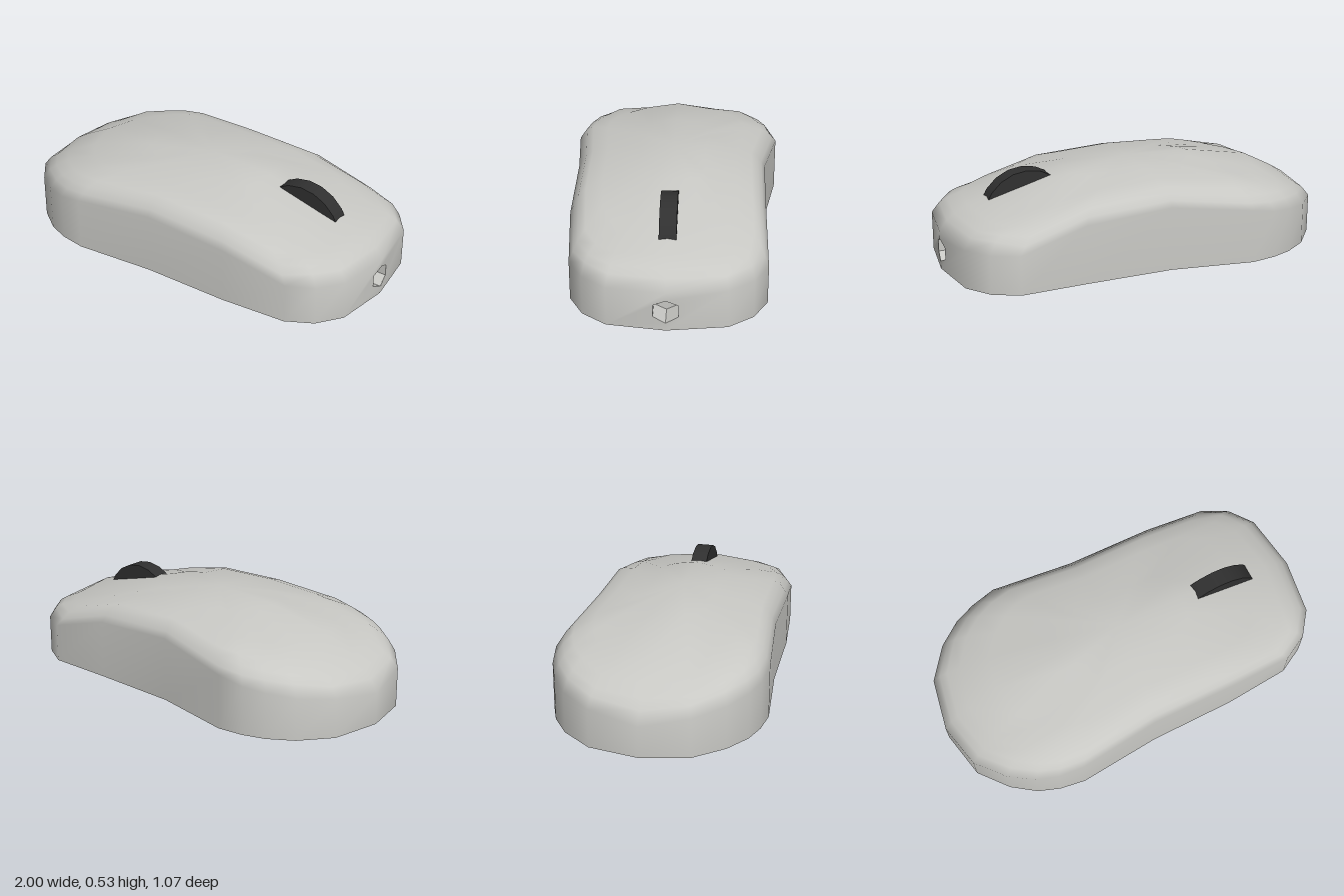
import * as THREE from 'three';
import { mergeGeometries, mergeVertices } from 'three/addons/utils/BufferGeometryUtils.js';

// plan outline [x, z], from the nose round the +z side to the tail and back
const outline = [
  [1, 0], [0.96, 0.28], [0.87, 0.4], [0.74, 0.47], [0.4, 0.495], [-0.05, 0.495], [-0.47, 0.53],
  [-0.6, 0.51], [-0.71, 0.47], [-0.83, 0.385], [-0.95, 0.24], [-1, 0], [-0.95, -0.25],
  [-0.83, -0.4], [-0.71, -0.48], [-0.6, -0.52], [-0.47, -0.54], [-0.05, -0.47], [0.4, -0.47],
  [0.74, -0.478], [0.87, -0.41], [0.96, -0.29],
];
const count = outline.length;
const base = 0.06;
const ballX = -0.04;

// height of the spine along x, and how far the shell falls from spine (0) to side (1)
const spine = [[-1, 0.22], [-0.95, 0.3], [-0.9, 0.34], [-0.7, 0.45], [-0.43, 0.51], [-0.03, 0.535],
  [0.37, 0.515], [0.7, 0.42], [0.84, 0.385], [0.95, 0.325], [1, 0.26]];
const fall = [[0, 0], [0.35, 0.02], [0.69, 0.045], [0.85, 0.07], [0.92, 0.095], [1, 0.165]];
const rightSide = [...outline.slice(0, 12)].reverse();
const leftSide = [...outline.slice(11), outline[0]].map(([x, z]) => [x, -z]);

function lerpTable(table, t) {
  for (let i = 1; i < table.length; i++) {
    const [a, va] = table[i - 1], [b, vb] = table[i];
    if (t <= b) return va + (vb - va) * Math.max(0, (t - a) / (b - a));
  }
  return table[table.length - 1][1];
}

function shellHeight(x, z) {
  const half = lerpTable(z >= 0 ? rightSide : leftSide, x);
  const u = half > 1e-6 ? Math.min(1, Math.abs(z) / half) : 0;
  return lerpTable(spine, x) - lerpTable(fall, u) * Math.min(1, (half / 0.5) ** 2);
}

// half of the nose wall, with half of the hexagonal cable hole cut out
function noseHalf([x, z]) {
  const pts = [[0, base], [-z, base], [-z, shellHeight(x, z)], [0, shellHeight(1, 0)],
    [0, 0.22], [-Math.sign(z) * 0.06, 0.19], [-Math.sign(z) * 0.06, 0.13], [0, 0.1]];
  const geo = new THREE.ShapeGeometry(new THREE.Shape(pts.map(p => new THREE.Vector2(...p))));
  geo.deleteAttribute('normal');
  geo.deleteAttribute('uv');
  const pos = geo.attributes.position;
  for (let i = 0; i < pos.count; i++) {
    const u = pos.getX(i);
    pos.setXYZ(i, 1 - (1 - x) * Math.abs(u / z), pos.getY(i), -u);
  }
  return geo;
}

// smooth shell: a wall ring, then shrinking rings draped over the top
function shellGeometry() {
  const positions = [], index = [];
  const scales = [1, 1, 0.96, 0.92, 0.85, 0.69, 0.35, 0];
  scales.forEach((s, r) => outline.forEach(([ox, oz]) => {
    const x = ox * s, z = oz * s;
    positions.push(x, r === 0 ? base : shellHeight(x, z), z);
  }));
  for (let r = 0; r < scales.length - 1; r++) {
    for (let i = 0; i < count; i++) {
      if (r === 0 && (i === 0 || i === count - 1)) continue; // nose wall is separate
      const j = (i + 1) % count;
      const a = r * count + i, b = r * count + j, c = a + count, d = b + count;
      index.push(a, c, b);
      if (r < scales.length - 2) index.push(b, c, d);
    }
  }
  const geo = new THREE.BufferGeometry();
  geo.setAttribute('position', new THREE.Float32BufferAttribute(positions, 3));
  geo.setIndex(index);
  const merged = mergeVertices(
    mergeGeometries([geo, noseHalf(outline[1]), noseHalf(outline[count - 1])]), 1e-4);
  merged.computeVertexNormals();
  return merged;
}

function faceted(geo) {
  const flat = geo.toNonIndexed();
  flat.computeVertexNormals();
  return flat;
}

export function createModel() {
  const group = new THREE.Group();
  const shellGrey = new THREE.MeshStandardMaterial({ color: 0xc8c8c4, side: THREE.DoubleSide });
  shellGrey.name = 'shellGrey';
  const wheelBlack = new THREE.MeshStandardMaterial({ color: 0x303030 });
  wheelBlack.name = 'wheelBlack';
  const add = (name, geo, mat) => {
    const mesh = new THREE.Mesh(geo, mat);
    mesh.name = name;
    group.add(mesh);
    return mesh;
  };

  add('shell', shellGeometry(), shellGrey);

  // flat underside with a round opening
  const shape = new THREE.Shape(outline.map(([x, z]) => new THREE.Vector2(x, z)));
  const hole = [];
  for (let i = 0; i < 16; i++) {
    const a = (i / 16) * Math.PI * 2;
    hole.push(new THREE.Vector2(ballX + Math.sin(a) * 0.34, Math.cos(a) * 0.34));
  }
  shape.holes.push(new THREE.Path(hole));
  add('underside', new THREE.ShapeGeometry(shape).rotateX(Math.PI / 2), shellGrey).position.y = base;

  // stepped recess around the ball
  const recess = [[0.34, base], [0.34, 0.095], [0.23, 0.095], [0.23, 0.16]]
    .map(p => new THREE.Vector2(...p));
  add('ballRecess', faceted(new THREE.LatheGeometry(recess, 16)), shellGrey).position.x = ballX;

  // tracking ball, lower half
  add('ball', new THREE.SphereGeometry(0.28, 12, 3, 0, Math.PI * 2, Math.PI / 2, Math.PI / 2), shellGrey)
    .position.set(ballX, 0.283, 0);

  // scroll wheel
  add('scrollWheel', new THREE.CylinderGeometry(0.232, 0.232, 0.083, 20).rotateX(Math.PI / 2), wheelBlack)
    .position.set(0.55, 0.295, 0);

  // hexagonal cable socket in the nose
  const socket = [[1, 0.22, 0], [0.9915, 0.19, 0.06], [0.9915, 0.13, 0.06],
    [1, 0.1, 0], [0.9915, 0.13, -0.06], [0.9915, 0.19, -0.06]];
  const pos = [], index = [], back = 0.88;
  socket.forEach(([x, y, z]) => pos.push(x, y, z, back, y, z));
  pos.push(back, 0.16, 0);
  for (let i = 0; i < 6; i++) {
    const a = i * 2, b = ((i + 1) % 6) * 2;
    index.push(a, b, a + 1, b, b + 1, a + 1, a + 1, b + 1, 12);
  }
  const socketGeo = new THREE.BufferGeometry();
  socketGeo.setAttribute('position', new THREE.Float32BufferAttribute(pos, 3));
  socketGeo.setIndex(index);
  add('cableSocket', faceted(socketGeo), shellGrey);

  return group;
}
